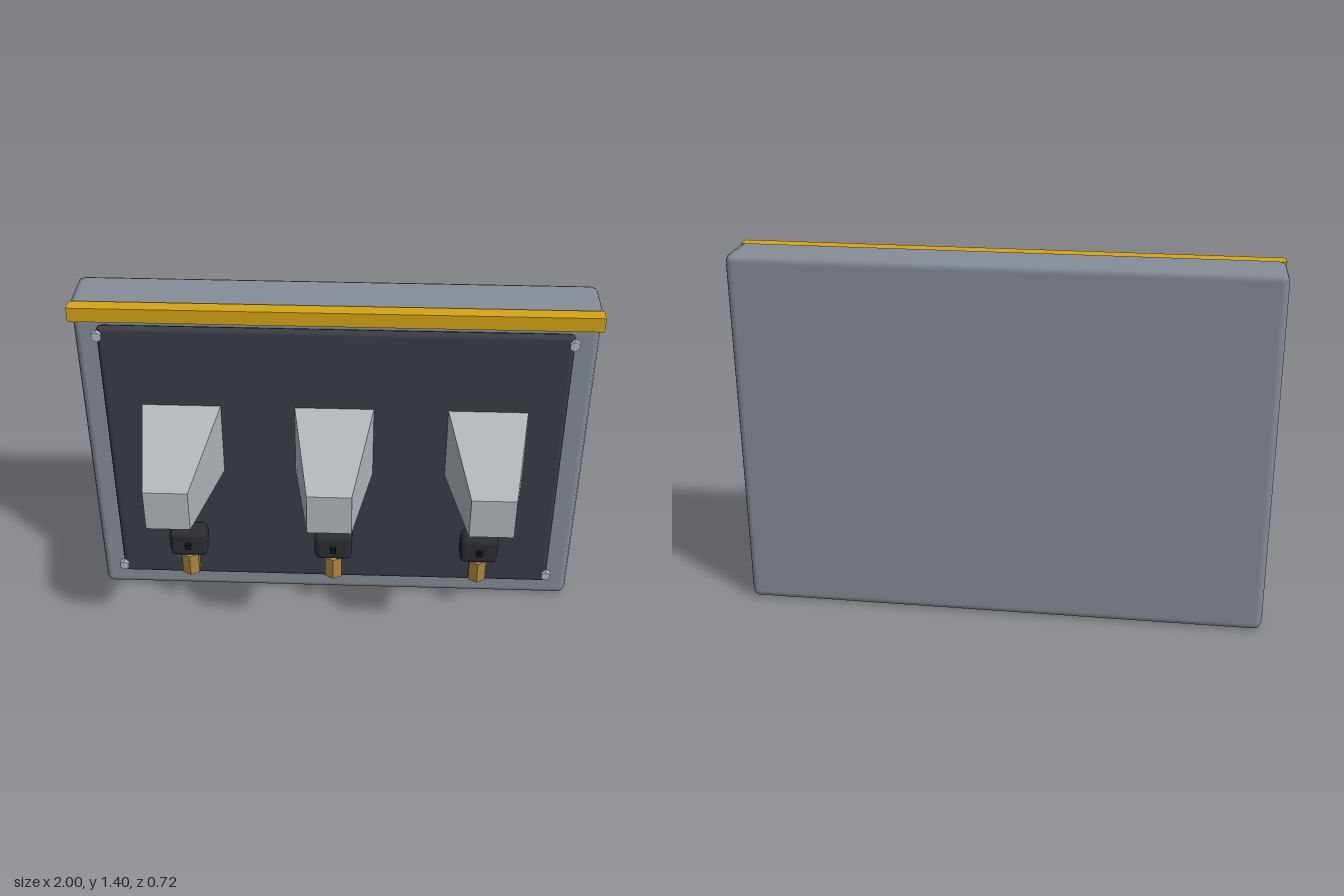
import * as THREE from 'three';
import { RoundedBoxGeometry } from 'three/addons/geometries/RoundedBoxGeometry.js';

const mat = (color, flatShading = false) => {
  const m = new THREE.MeshStandardMaterial({ color });
  m.flatShading = flatShading;
  return m;
};

export function createModel() {
  const model = new THREE.Group();
  const steel = mat(0x868d98);
  const dark = mat(0x3a3d46);
  const black = mat(0x2b2d33);
  const yellow = mat(0xd4a514);
  const brass = mat(0xa98540, true);
  const pale = mat(0xb4b8bc, true);

  const add = (parent, name, geometry, material, x, y, z) => {
    const mesh = new THREE.Mesh(geometry, material);
    mesh.name = name;
    mesh.position.set(x, y, z);
    parent.add(mesh);
    return mesh;
  };

  // Bevelled back slab, inset plate and the bar along the top
  add(model, 'slab', new RoundedBoxGeometry(2, 1.4, 0.2, 1, 0.03), steel, 0, 0.7, -0.26);
  add(model, 'facePlate', new RoundedBoxGeometry(1.81, 1.2, 0.04, 1, 0.02), dark, 0, 0.7, -0.14);
  add(model, 'topBar', new THREE.BoxGeometry(2, 0.057, 0.057), yellow, 0, 1.362, -0.13);

  // Hexagonal bolts at the plate corners
  const bolt = new THREE.CylinderGeometry(0.021, 0.021, 0.025, 6).rotateX(Math.PI / 2);
  for (const x of [-0.9, 0.9]) {
    for (const y of [0.143, 1.266]) add(model, 'cornerBolt', bolt, pale, x, y, -0.1175);
  }

  // Square tapered horn, widest at the plate
  const horn = new THREE.CylinderGeometry(0.083 * Math.SQRT2, 0.155 * Math.SQRT2, 0.48, 4)
    .rotateY(Math.PI / 4).rotateX(Math.PI / 2);
  const body = new RoundedBoxGeometry(0.155, 0.12, 0.096, 1, 0.022);
  const button = new THREE.BoxGeometry(0.024, 0.024, 0.02);
  const stem = new THREE.CylinderGeometry(0.04, 0.04, 0.098, 6);

  // Three stations: a horn above a small boxed fitting with a brass stem
  for (const x of [-0.6, 0, 0.6]) {
    const station = new THREE.Group();
    station.name = 'station';
    station.position.x = x;
    add(station, 'horn', horn, pale, 0, 0.805, 0.12);
    add(station, 'fittingBody', body, black, 0, 0.342, -0.058);
    add(station, 'fittingButton', button, mat(0x111214), 0, 0.342, -0.005);
    add(station, 'brassStem', stem, brass, 0, 0.224, -0.058);
    model.add(station);
  }
  return model;
}
